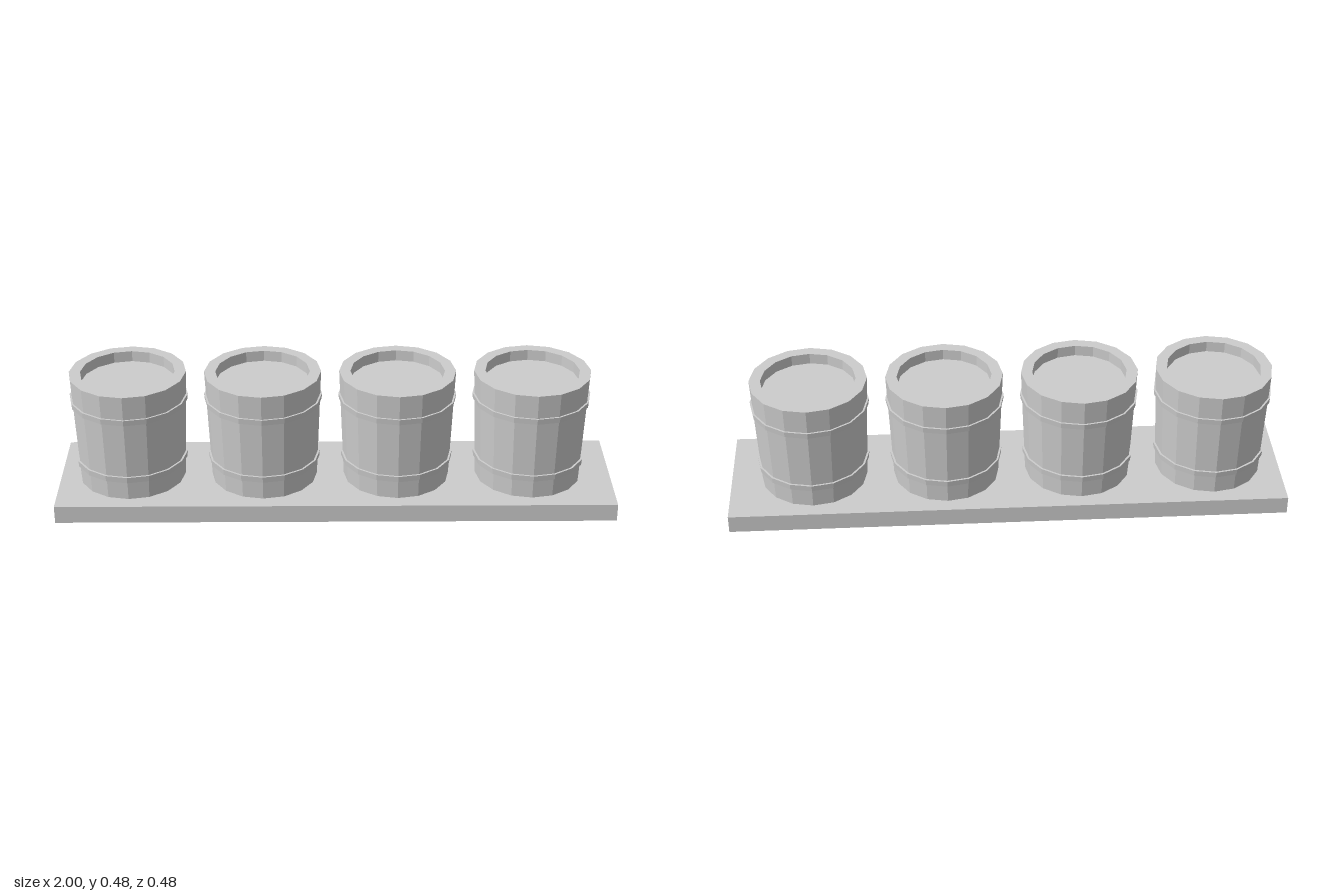
import * as THREE from 'three';

const SIDES = 16;

// Faceted solid of revolution; the profile runs from bottom to top on the outside
function facetedLathe(profile) {
  const points = profile.map(([r, y]) => new THREE.Vector2(r, y));
  const geometry = new THREE.LatheGeometry(points, SIDES).toNonIndexed();
  geometry.computeVertexNormals();
  return geometry;
}

function namedMesh(name, geometry, material) {
  const mesh = new THREE.Mesh(geometry, material);
  mesh.name = name;
  return mesh;
}

export function createModel() {
  const model = new THREE.Group();
  model.name = 'barrelRow';

  const grey = new THREE.MeshStandardMaterial({ color: 0xcccccc });
  grey.name = 'plain grey';

  // Base board
  const board = namedMesh('board', new THREE.BoxGeometry(2, 0.065, 0.48), grey);
  board.position.y = 0.0325;
  model.add(board);

  // Tapered tub with a thick rim and a recessed lid
  const tubGeometry = facetedLathe([
    [0, 0.068], [0.191, 0.068], [0.208, 0.48],
    [0.168, 0.48], [0.168, 0.44], [0, 0.44],
  ]);

  // Thin hoops that follow the taper
  const hoop = (y0, y1, r0, r1) => facetedLathe([
    [r0 - 0.012, y0], [r0, y0], [r1, y1], [r1 - 0.012, y1],
  ]);
  const lowerHoop = hoop(0.138, 0.16, 0.2, 0.202);
  const upperHoop = hoop(0.371, 0.392, 0.209, 0.211);

  for (let i = 0; i < 4; i++) {
    const barrel = new THREE.Group();
    barrel.name = `barrel${i + 1}`;
    barrel.add(
      namedMesh('tub', tubGeometry, grey),
      namedMesh('lowerHoop', lowerHoop, grey),
      namedMesh('upperHoop', upperHoop, grey),
    );
    barrel.position.x = -0.74 + i * 0.48;
    model.add(barrel);
  }

  return model;
}
